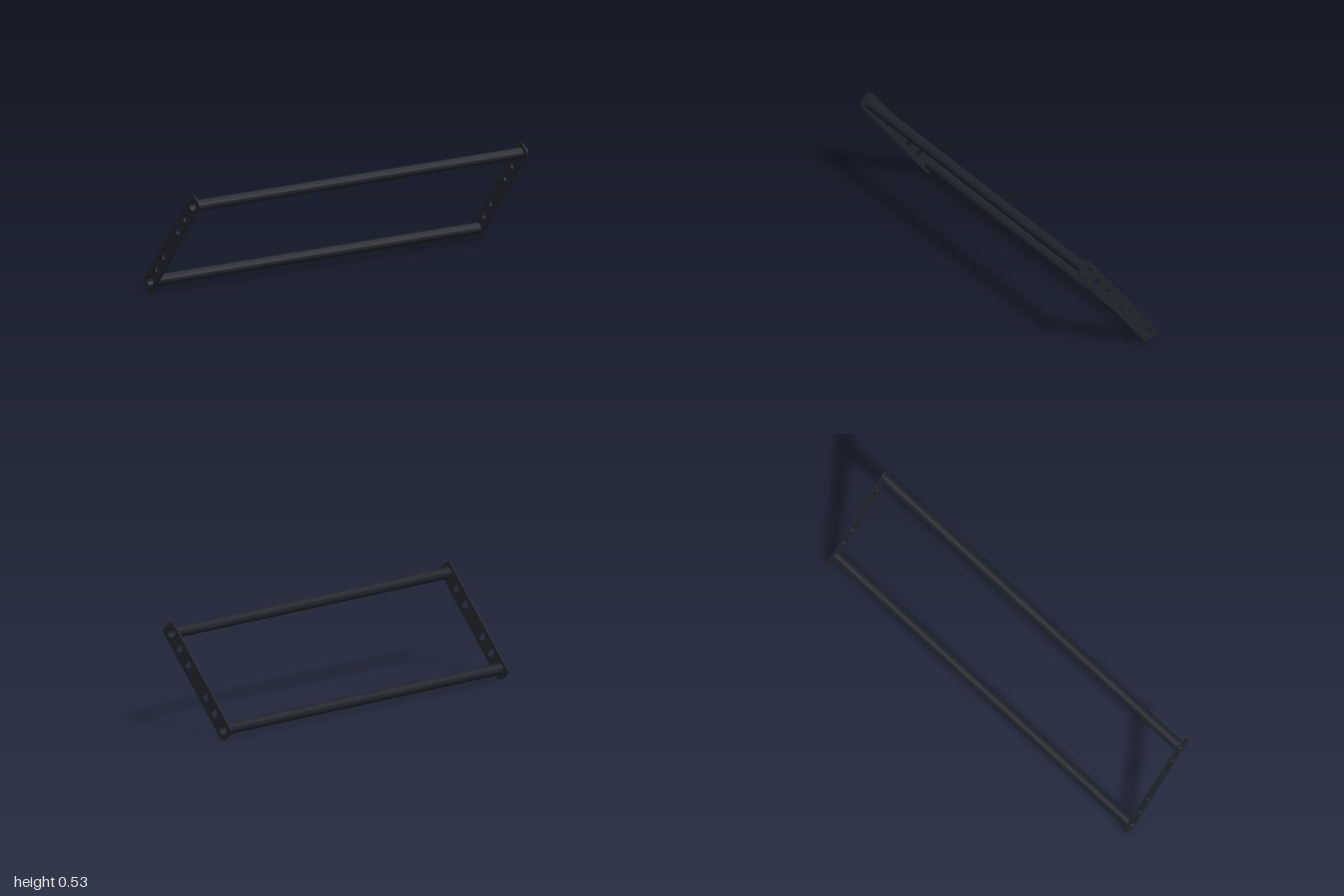
import * as THREE from 'three';
import { toCreasedNormals } from 'three/addons/utils/BufferGeometryUtils.js';

const HALF_SPAN = 1;         // outer face of each end plate
const PLATE = 0.01;          // plate thickness
const HALF_LEN = 0.3195, HALF_WIDTH = 0.0425, CORNER = 0.025;
const TUBE_AT = 0.273, TUBE_OUTER = 0.028, TUBE_INNER = 0.024;
const TILT = 0.667;

const material = new THREE.MeshStandardMaterial({ color: 0x20232b });

const circle = (y, r) => new THREE.Path().absarc(0, y, r, 0, Math.PI * 2, true);

// Extrude a shape along z, centred on z = 0, with smooth bores and crisp edges
function extrude(shape, depth) {
  const geo = new THREE.ExtrudeGeometry(shape, { depth, bevelEnabled: false, curveSegments: 24 });
  geo.translate(0, 0, -depth / 2);
  return toCreasedNormals(geo, Math.PI / 6);
}

// Rounded strap with a seat for each tube and four lightening holes
function plateShape() {
  const w = HALF_WIDTH - CORNER, l = HALF_LEN - CORNER;
  const shape = new THREE.Shape();
  shape.absarc(w, l, CORNER, 0, Math.PI / 2);
  shape.absarc(-w, l, CORNER, Math.PI / 2, Math.PI);
  shape.absarc(-w, -l, CORNER, Math.PI, Math.PI * 1.5);
  shape.absarc(w, -l, CORNER, Math.PI * 1.5, Math.PI * 2);
  shape.closePath();
  for (const s of [-1, 1]) {
    shape.holes.push(circle(s * TUBE_AT, TUBE_OUTER), circle(s * 0.183, 0.019), circle(s * 0.092, 0.019));
  }
  return shape;
}

function tubeShape() {
  const shape = new THREE.Shape();
  shape.absarc(0, 0, TUBE_OUTER, 0, Math.PI * 2);
  shape.holes.push(circle(0, TUBE_INNER));
  return shape;
}

export function createModel() {
  const model = new THREE.Group();
  model.name = 'tubeFrame';

  // Built upright along local z, then turned to run along x and leaned forward
  const frame = new THREE.Group();
  frame.name = 'tiltedFrame';
  frame.rotation.set(0, Math.PI / 2, TILT);
  frame.position.y = 0.2665;
  model.add(frame);

  const plateGeo = extrude(plateShape(), PLATE);
  const tubeGeo = extrude(tubeShape(), HALF_SPAN * 2);

  for (const s of [-1, 1]) {
    const plate = new THREE.Mesh(plateGeo, material);
    plate.name = s > 0 ? 'leftEndPlate' : 'rightEndPlate';
    plate.position.z = s * (HALF_SPAN - PLATE / 2);

    const tube = new THREE.Mesh(tubeGeo, material);
    tube.name = s > 0 ? 'upperTube' : 'lowerTube';
    tube.position.y = s * TUBE_AT;
    frame.add(plate, tube);
  }
  return model;
}
